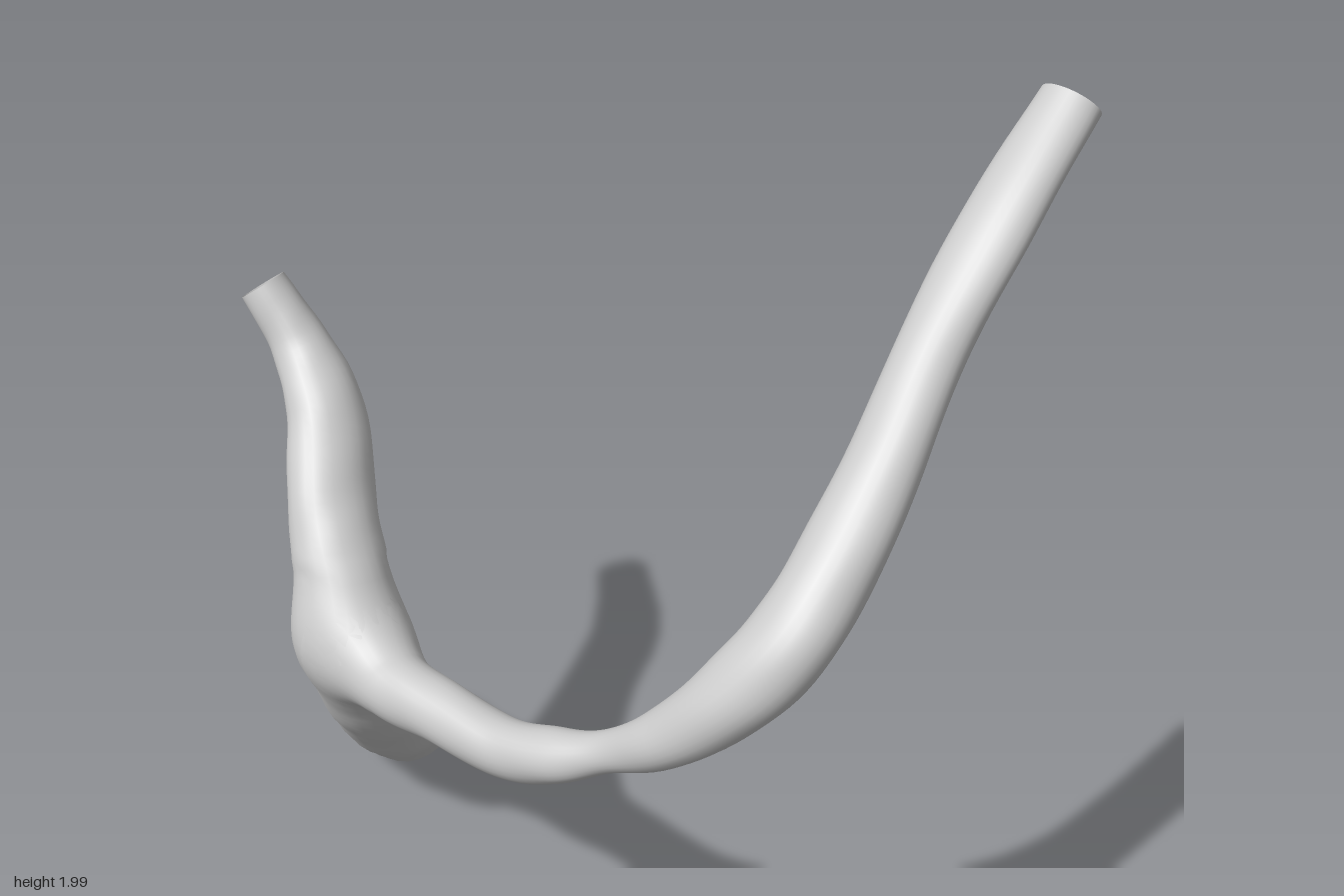
import * as THREE from 'three';

const SIDES = 28;
const BLEND = 0.1; // width of the smooth fillet where the vessels fork
const material = new THREE.MeshStandardMaterial({ color: 0xcccccc, side: THREE.DoubleSide });

// Rings of points swept through stations [x, y, z, radius along ref, radius across ref].
function sweep(stations, refAt, rings) {
  const path = new THREE.CatmullRomCurve3(
    stations.map(([x, y, z]) => new THREE.Vector3(x, y, z)), false, 'catmullrom');
  const radii = new THREE.CatmullRomCurve3(
    stations.map(([, , , a, b]) => new THREE.Vector3(a, b, 0)), false, 'catmullrom');
  const points = [];
  const cores = [];
  for (let i = 0; i <= rings; i++) {
    const s = i / rings;
    const centre = path.getPoint(s);
    const r = radii.getPoint(s);
    const t = path.getTangent(s);
    const u = refAt(s);
    u.addScaledVector(t, -u.dot(t)).normalize();
    const v = new THREE.Vector3().crossVectors(t, u);
    cores.push({ centre, radius: (r.x + r.y) / 2 });
    for (let j = 0; j < SIDES; j++) {
      const angle = (j / SIDES) * Math.PI * 2;
      // slight organic unevenness of the wall
      const wobble = 1 + 0.012 * Math.sin(s * 47 + 2 * angle) + 0.008 * Math.sin(s * 83 - 3 * angle);
      points.push(centre.clone()
        .addScaledVector(u, r.x * wobble * Math.cos(angle))
        .addScaledVector(v, r.y * wobble * Math.sin(angle)));
    }
  }
  return { points, cores, rings };
}

// Distance from p to a swept vessel, and the direction away from it.
function distance(p, { cores }) {
  let d = Infinity;
  let nearest;
  for (const core of cores) {
    const e = p.distanceTo(core.centre) - core.radius;
    if (e < d) { d = e; nearest = core.centre; }
  }
  return { d, out: p.clone().sub(nearest).normalize() };
}

// Mesh of one vessel, opened where it enters the other and filleted onto it.
function vessel(name, own, other) {
  const positions = [];
  const inside = [];
  for (const p of own.points) {
    inside.push(distance(p, other).d < -0.025);
    for (let step = 0; step < 5; step++) {
      const a = distance(p, own);
      const b = distance(p, other);
      const h = Math.max(0, 1 - Math.abs(a.d - b.d) / BLEND);
      if (h === 0 && b.d > a.d) break;
      const d = Math.min(a.d, b.d) - h * h * BLEND / 4;
      const mix = THREE.MathUtils.clamp(0.5 + (a.d - b.d) / (2 * BLEND), 0, 1);
      p.addScaledVector(a.out.lerp(b.out, mix).normalize(), -d);
    }
    positions.push(p.x, p.y, p.z);
  }
  const index = [];
  const addFace = (...face) => {
    if (!face.every((k) => inside[k])) index.push(...face);
  };
  for (let i = 0; i < own.rings; i++) {
    for (let j = 0; j < SIDES; j++) {
      const a = i * SIDES + j;
      const b = i * SIDES + (j + 1) % SIDES;
      addFace(a, b, a + SIDES);
      addFace(b, b + SIDES, a + SIDES);
    }
  }
  const geometry = new THREE.BufferGeometry();
  geometry.setAttribute('position', new THREE.Float32BufferAttribute(positions, 3));
  geometry.setIndex(index);
  geometry.computeVertexNormals();
  const mesh = new THREE.Mesh(geometry, material);
  mesh.name = name;
  return mesh;
}

export function createModel() {
  const model = new THREE.Group();
  model.name = 'branchingVessel';

  // Thick trunk rising to the fork and bending on into the rear branch
  const trunk = sweep([
    [-0.03, 0.092, -0.64, 0.115, 0.106],
    [-0.16, 0.235, -0.555, 0.116, 0.118],
    [-0.28, 0.39, -0.472, 0.117, 0.12],
    [-0.385, 0.55, -0.395, 0.117, 0.119],
    [-0.452, 0.70, -0.367, 0.109, 0.109],
    [-0.438, 0.82, -0.402, 0.104, 0.102],
    [-0.38, 0.945, -0.483, 0.102, 0.083],
    [-0.285, 1.10, -0.59, 0.09, 0.075],
    [-0.25, 1.21, -0.70, 0.065, 0.062],
    [-0.262, 1.325, -0.792, 0.05, 0.056],
  ], () => new THREE.Vector3(1, 0, 0), 72);

  // Long branch: leaves the fork forward, pinches, then sweeps up and across
  const branch = sweep([
    [-0.46, 0.71, -0.37, 0.09, 0.09],
    [-0.48, 0.70, -0.27, 0.09, 0.09],
    [-0.505, 0.69, -0.17, 0.08, 0.078],
    [-0.515, 0.70, -0.03, 0.069, 0.066],
    [-0.515, 0.70, 0.14, 0.07, 0.064],
    [-0.51, 0.75, 0.28, 0.057, 0.058],
    [-0.487, 0.81, 0.40, 0.042, 0.045],
    [-0.467, 0.90, 0.53, 0.06, 0.062],
    [-0.42, 1.03, 0.65, 0.073, 0.083],
    [-0.342, 1.155, 0.725, 0.077, 0.09],
    [-0.227, 1.275, 0.742, 0.073, 0.088],
    [-0.065, 1.43, 0.73, 0.065, 0.08],
    [0.125, 1.61, 0.70, 0.056, 0.074],
    [0.335, 1.80, 0.693, 0.052, 0.079],
    [0.545, 1.96, 0.69, 0.05, 0.068],
  ], (s) => new THREE.Vector3(-Math.min(1, s * 2.2), 1, 0), 110);

  model.add(vessel('trunkAndRearBranch', trunk, branch));
  model.add(vessel('longFrontBranch', branch, trunk));
  return model;
}
